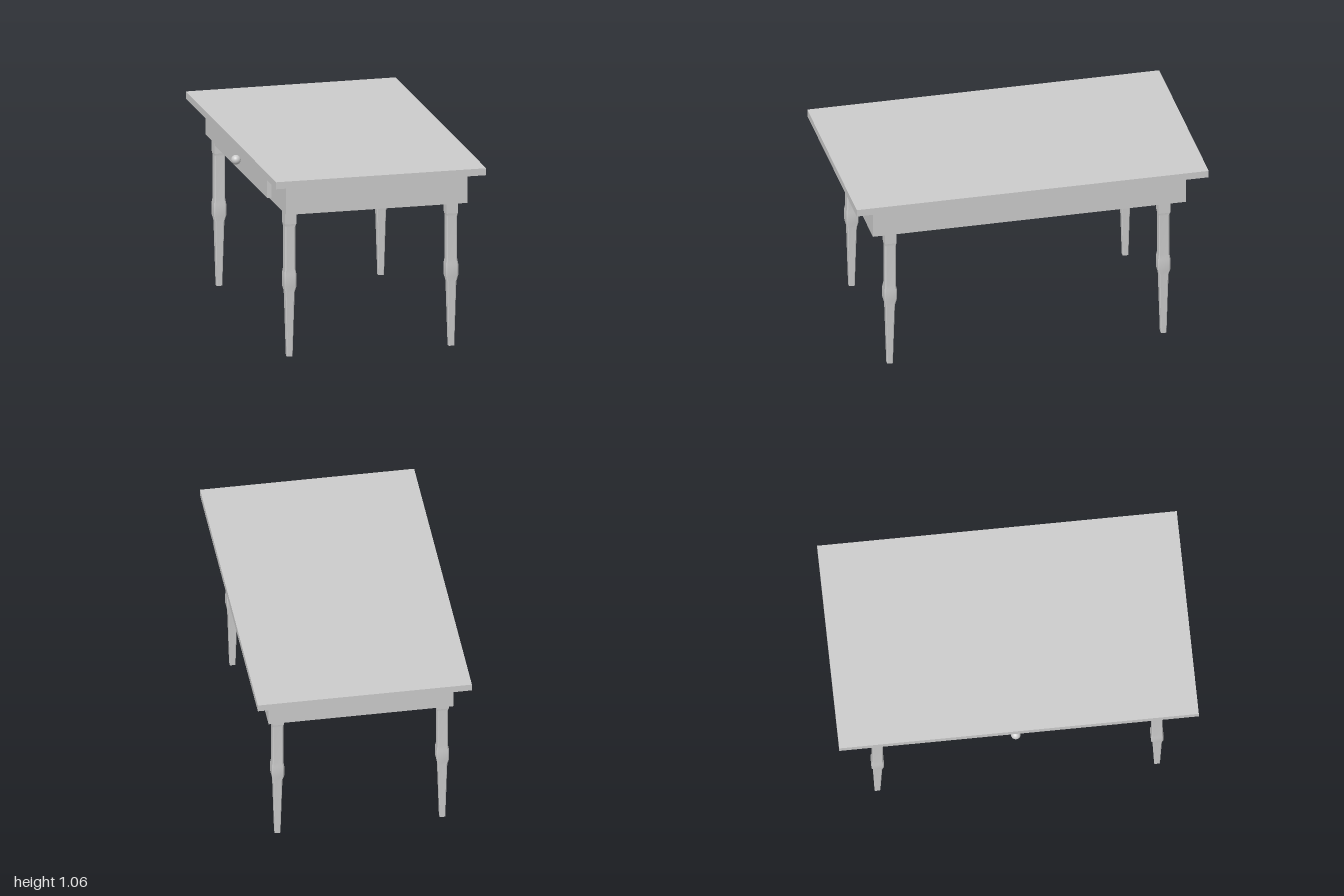
import * as THREE from 'three';

const material = new THREE.MeshStandardMaterial({ color: 0xcccccc });

function addMesh(parent, name, geometry, x = 0, y = 0, z = 0) {
  const mesh = new THREE.Mesh(geometry, material);
  mesh.name = name;
  mesh.position.set(x, y, z);
  parent.add(mesh);
  return mesh;
}

// Box given by its minimum and maximum on each axis
function addBlock(parent, name, [x0, x1], [y0, y1], [z0, z1]) {
  const geometry = new THREE.BoxGeometry(x1 - x0, y1 - y0, z1 - z0);
  return addMesh(parent, name, geometry, (x0 + x1) / 2, (y0 + y1) / 2, (z0 + z1) / 2);
}

// Square section of half width h with corners cut by c, ordered +z towards +x
function section(h, c) {
  const k = h - c;
  return [[-k, h], [k, h], [h, k], [h, -k], [k, -h], [-k, -h], [-h, -k], [-h, k]];
}

// Shaft of chamfered square sections: smooth along its length, sharp at the arrises
function shaftGeometry(profile) {
  const positions = [], index = [];
  const rings = profile.map(([y, h, c]) => section(h, c).map(([x, z]) => [x, y, z]));
  for (let s = 0; s < 8; s++) {
    const start = positions.length / 3;
    rings.forEach((ring) => positions.push(...ring[s], ...ring[(s + 1) % 8]));
    for (let i = 0; i < rings.length - 1; i++) {
      const a = start + 2 * i;
      index.push(a, a + 1, a + 3, a, a + 3, a + 2);
    }
  }
  // Foot cap
  const foot = positions.length / 3;
  rings[0].forEach((p) => positions.push(...p));
  for (let s = 1; s < 7; s++) index.push(foot, foot + s + 1, foot + s);

  const geometry = new THREE.BufferGeometry();
  geometry.setAttribute('position', new THREE.Float32BufferAttribute(positions, 3));
  geometry.setIndex(index);
  geometry.computeVertexNormals();
  return geometry;
}

export function createModel() {
  const table = new THREE.Group();
  table.name = 'table';

  // Top board and apron box
  addBlock(table, 'tableTop', [-0.6, 0.6], [1.02, 1.06], [-1, 1]);
  addBlock(table, 'apron', [-0.515, 0.522], [0.838, 1.02], [-0.89, 0.89]);

  // Drawer on the long right side
  const drawer = new THREE.Group();
  drawer.name = 'drawer';
  table.add(drawer);
  addBlock(drawer, 'drawerFront', [-0.54, -0.51], [0.853, 0.99], [-0.587, 0.565]);
  addMesh(drawer, 'drawerKnob', new THREE.SphereGeometry(0.027, 32, 20), -0.568, 0.923, -0.015);

  // Legs: square head, straight shank, swollen knee and tapered foot
  const shaft = shaftGeometry([
    [0, 0.016, 0.003],
    [0.37, 0.026, 0.005],
    [0.405, 0.035, 0.007],
    [0.47, 0.035, 0.007],
    [0.5, 0.03, 0.006],
    [0.745, 0.03, 0.006],
    [0.765, 0.033, 0.001],
  ]);
  const head = new THREE.BoxGeometry(0.066, 0.08, 0.066);
  for (const [side, x] of [['Right', -0.469], ['Left', 0.455]]) {
    for (const [end, z] of [['front', 0.78], ['back', -0.775]]) {
      const leg = new THREE.Group();
      leg.name = `${end}${side}Leg`;
      leg.position.set(x, 0, z);
      addMesh(leg, 'legShaft', shaft);
      addMesh(leg, 'legHead', head, 0, 0.802, 0);
      table.add(leg);
    }
  }
  return table;
}
